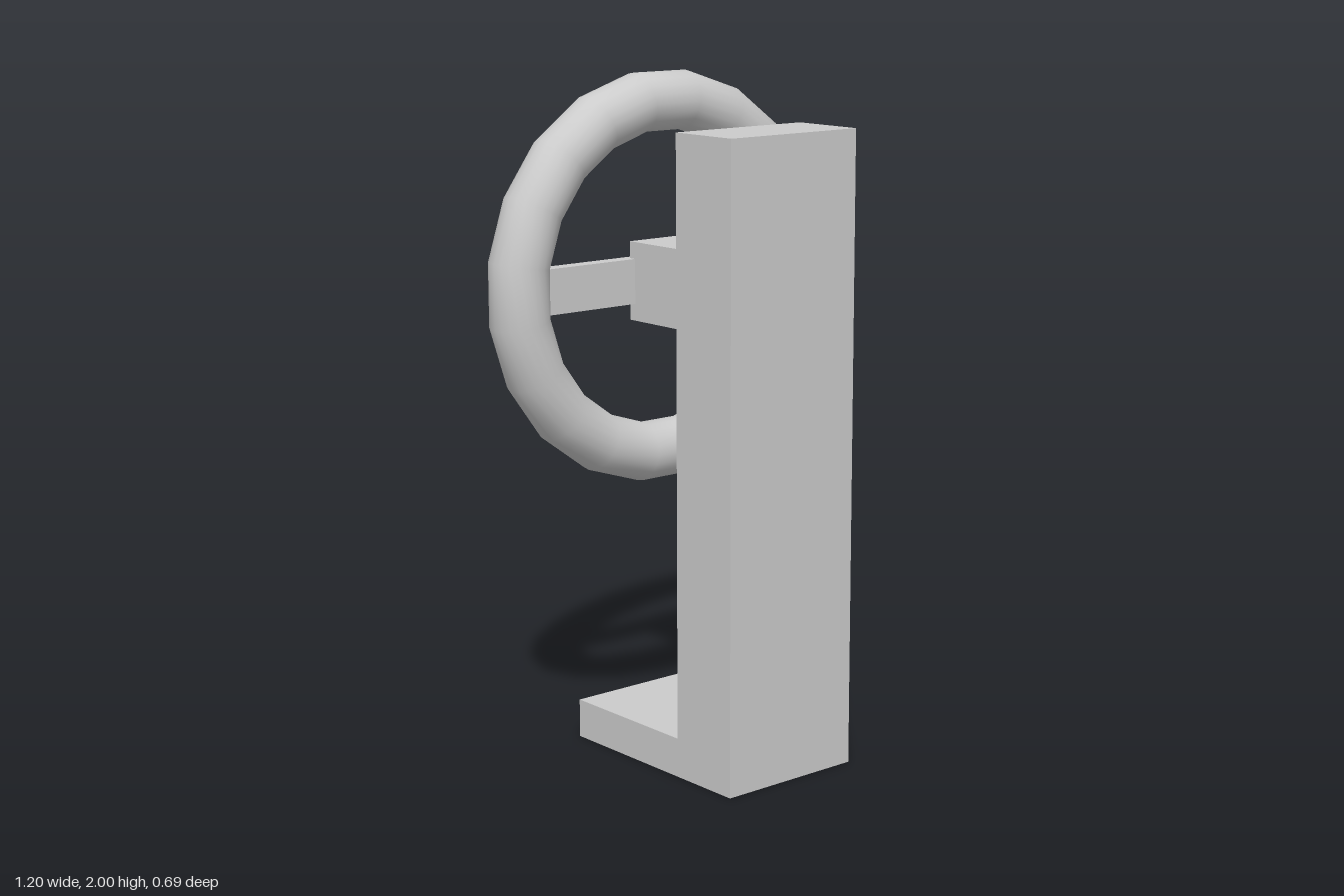
import * as THREE from 'three';

const material = new THREE.MeshStandardMaterial({ color: 0xcccccc });

const HUB_Y = 1.4;      // height of the wheel centre
const WHEEL_Z = -0.232; // plane of the wheel
const FRONT_Z = 0.347;
const COLUMN_BACK_Z = 0.116;

function addPart(group, name, geometry, x = 0, y = 0, z = 0) {
  const mesh = new THREE.Mesh(geometry, material);
  mesh.name = name;
  mesh.position.set(x, y, z);
  group.add(mesh);
  return mesh;
}

export function createModel() {
  const group = new THREE.Group();
  group.name = 'wheelStand';

  // L-shaped stand: upright column and foot, drawn as (z, y) and extruded across x
  const profile = new THREE.Shape([
    [-0.347, 0], [FRONT_Z, 0], [FRONT_Z, 1.863],
    [COLUMN_BACK_Z, 1.863], [COLUMN_BACK_Z, 0.116], [-0.347, 0.116],
  ].map(([z, y]) => new THREE.Vector2(z, y)));
  const width = 0.462;
  const stand = new THREE.ExtrudeGeometry(profile, { depth: width, bevelEnabled: false });
  stand.translate(0, 0, -width / 2).rotateY(-Math.PI / 2);
  addPart(group, 'stand', stand);

  // Arm from the column back to the wheel plane
  const armLength = COLUMN_BACK_Z - WHEEL_Z;
  addPart(group, 'arm', new THREE.BoxGeometry(0.231, 0.231, armLength),
    0, HUB_Y, (COLUMN_BACK_Z + WHEEL_Z) / 2);

  // Crossbar spanning the wheel, its ends sunk into the rim
  addPart(group, 'crossbar', new THREE.BoxGeometry(0.94, 0.132, 0.046), 0, HUB_Y, WHEEL_Z);

  // Twenty-sided rim with flats at top, bottom and sides
  const rim = new THREE.TorusGeometry(0.521, 0.087, 20, 20).rotateZ(Math.PI / 20);
  addPart(group, 'wheelRim', rim, 0, HUB_Y, WHEEL_Z);

  return group;
}
